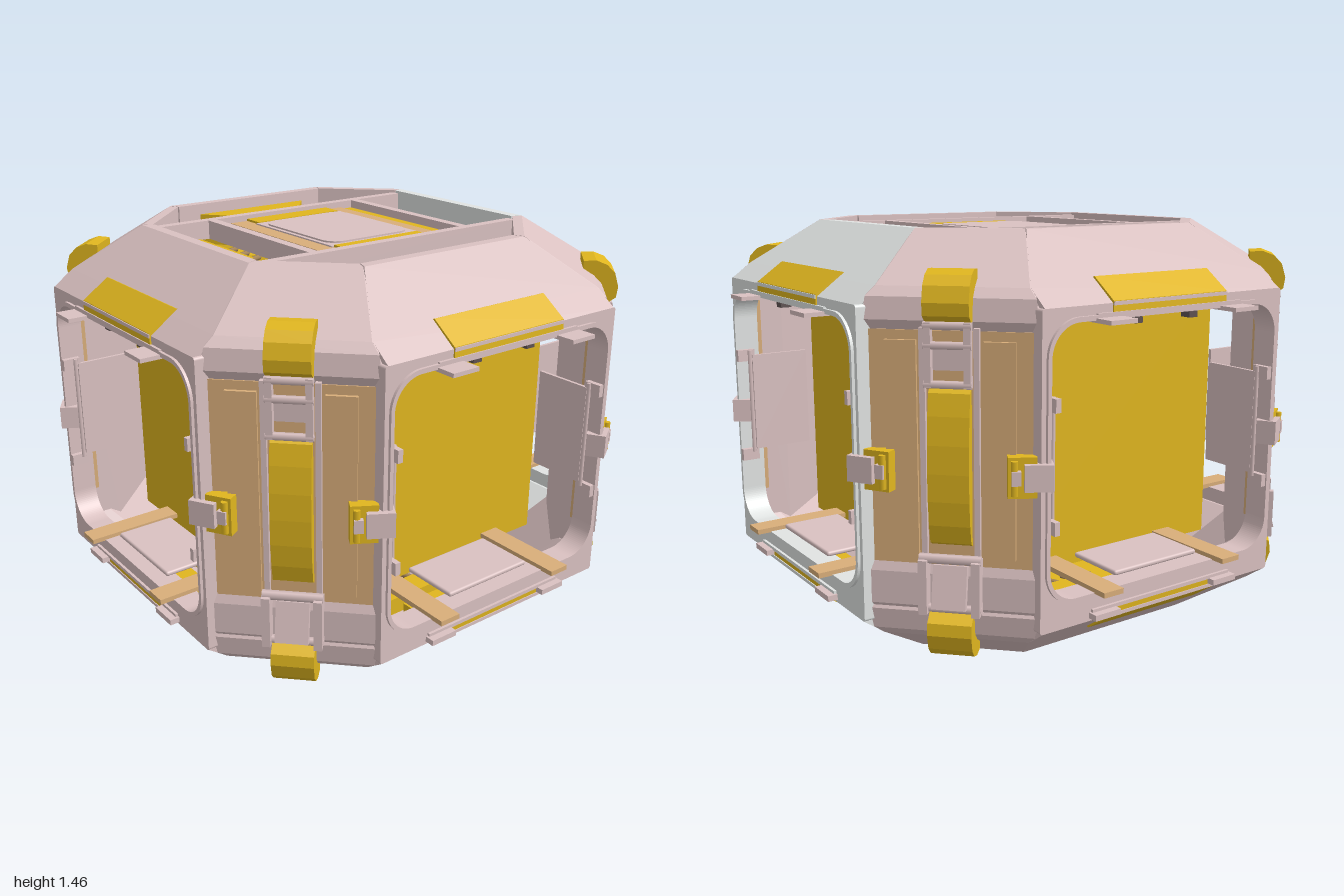
import * as THREE from 'three';
import { RoundedBoxGeometry } from 'three/addons/geometries/RoundedBoxGeometry.js';

const H = 1.46, MID = H / 2;
const mat = (name, color) => Object.assign(new THREE.MeshStandardMaterial({ color }), { name });

export function createModel() {
  const pink = mat('rose shell', 0xdac1c1), white = mat('pale grey shell', 0xe1e4e3);
  const gold = mat('gold', 0xe0b61f), bronze = mat('bronze', 0xd9ae7a);
  const brown = mat('spring brown', 0xa8885a), dark = mat('dark trim', 0x5f5252);

  const group = (name, parent, angle = 0) => {
    const g = new THREE.Group();
    g.name = name;
    g.rotation.y = angle;
    parent.add(g);
    return g;
  };
  const add = (parent, name, geo, m, x = 0, y = 0, z = 0) => {
    const mesh = new THREE.Mesh(geo, m);
    mesh.name = name;
    mesh.position.set(x, y, z);
    parent.add(mesh);
    return mesh;
  };
  // box given by its limits
  const box = (parent, name, m, x0, x1, y0, y1, z0, z1) =>
    add(parent, name, new THREE.BoxGeometry(x1 - x0, y1 - y0, z1 - z0), m,
      (x0 + x1) / 2, (y0 + y1) / 2, (z0 + z1) / 2);

  // solid from a closed (z, y) outline whose half width can change per point
  const prism = (profile, width) => {
    const p = profile.map(([z, y, w = width]) => ({ z, y, w }));
    const flat = () => p.map(q => new THREE.Vector2(q.z, q.y));
    if (THREE.ShapeUtils.isClockWise(flat())) p.reverse();
    const v = [];
    const L = i => v.push(-p[i].w, p[i].y, p[i].z), R = i => v.push(p[i].w, p[i].y, p[i].z);
    for (const [a, b, c] of THREE.ShapeUtils.triangulateShape(flat(), [])) {
      L(a); L(b); L(c);
      R(c); R(b); R(a);
    }
    p.forEach((_, i) => {
      const j = (i + 1) % p.length;
      L(j); L(i); R(i);
      L(j); R(i); R(j);
    });
    const g = new THREE.BufferGeometry();
    g.setAttribute('position', new THREE.Float32BufferAttribute(v, 3));
    g.computeVertexNormals();
    return g;
  };
  const roundRect = (C, w, y0, y1, r) => {
    const s = new C();
    s.moveTo(-w + r, y0);
    s.lineTo(w - r, y0); s.absarc(w - r, y0 + r, r, -Math.PI / 2, 0);
    s.lineTo(w, y1 - r); s.absarc(w - r, y1 - r, r, 0, Math.PI / 2);
    s.lineTo(-w + r, y1); s.absarc(-w + r, y1 - r, r, Math.PI / 2, Math.PI);
    s.lineTo(-w, y0 + r); s.absarc(-w + r, y0 + r, r, Math.PI, Math.PI * 1.5);
    return s;
  };
  const rod = (parent, name, a, b, r, m) => {
    const A = new THREE.Vector3(...a), B = new THREE.Vector3(...b), d = B.clone().sub(A);
    const mesh = add(parent, name, new THREE.CylinderGeometry(r, r, d.length(), 6), m);
    mesh.position.copy(A).add(B).multiplyScalar(0.5);
    mesh.quaternion.setFromUnitVectors(new THREE.Vector3(0, 1, 0), d.normalize());
  };

  // shared outlines: [outward, height, half width]
  const slope = prism([[.58, H, .343], [.62, H, .358], [.845, 1.30, .503], [.92, 1.245, .505],
    [.92, 1.21, .505], [.84, 1.21, .5], [.62, 1.36, .358], [.58, 1.36, .343]]);
  const cornerSlope = prism([[.657, H, .166], [.693, H, .182], [.955, 1.30, .24], [.985, 1.27, .265],
    [.995, 1.2, .275], [.98, 1.17, .265], [.9, 1.17, .207], [.69, 1.36, .182], [.657, 1.36, .166]]);
  const grip = prism([[.828, 1.32], [.924, 1.252], [.926, 1.215], [.72, 1.215], [.72, 1.28]], .245);
  const hook = prism([[1.0, 1.19], [1.04, 1.22], [1.045, 1.26], [1.03, 1.31], [1.0, 1.34], [.96, 1.355],
    [.915, 1.352], [.915, 1.32], [.955, 1.29], [.98, 1.25], [.98, 1.19]], .072);
  const springBlock = prism([[.575, 1.30, .25], [.575, 1.42, .25], [.48, 1.42, .17], [.48, 1.30, .17]]);

  // top or bottom half of the shell
  const cap = (parent) => {
    for (let k = 0; k < 4; k++) {
      const side = group('slopeSide', parent, k * Math.PI / 2);
      const shell = k === 1 ? white : pink;
      add(side, 'slopePanel', slope, shell);
      add(side, 'slopeGrip', grip, gold);
      box(side, 'gripGap', shell, -.245, .245, 1.238, 1.25, .9, .928);
      box(side, 'gripLedge', shell, -.31, .31, 1.205, 1.218, .9, .93);
      if (k !== 1) {
        add(side, 'springBlock', springBlock, gold);
        for (let i = 0; i < 4; i++) for (const s of [-1, 1]) {
          const x = (i - 1.5) * .078;
          rod(side, 'springRod', [x - s * .032, 1.36 + s * .012, .35], [x + s * .032, 1.36 + s * .012, .485], .01, brown);
        }
      }
      const corner = group('slopeCorner', parent, (k + .5) * Math.PI / 2);
      add(corner, 'cornerSlope', cornerSlope, pink);
      add(corner, 'strapHook', hook, gold);
    }
    // central hatch and its crossbars
    for (const s of [-1, 1]) {
      box(parent, 'longCrossbar', pink, -.59, .59, 1.38, 1.45, s * .342 - .018, s * .342 + .018);
      box(parent, 'shortCrossbar', pink, s * .342 - .018, s * .342 + .018, 1.38, 1.45, -.33, .33);
      box(parent, 'hatchGoldBand', gold, -.19, .19, 1.425, 1.436, s * .28 - .04, s * .28 + .04);
    }
    box(parent, 'hatchPlate', gold, -.33, .33, 1.39, 1.42, -.33, .33);
    box(parent, 'hatchInlay', bronze, -.265, .265, 1.42, 1.428, -.32, .32);
    box(parent, 'hatchField', pink, -.2, .2, 1.425, 1.433, -.24, .24);
    const c = roundRect(THREE.Shape, .185, -.22, .22, .06);
    add(parent, 'hatchCentre', new THREE.ExtrudeGeometry(c, { depth: .006, bevelEnabled: false }), pink, 0, 1.433, 0)
      .rotation.x = -Math.PI / 2;
  };

  const root = new THREE.Group();
  root.name = 'octagonalCrate';
  cap(group('upperShell', root));
  const lower = group('lowerShell', root);
  lower.rotation.x = Math.PI;
  lower.position.y = H;
  cap(lower);

  // side frames with rounded openings
  const frameShape = roundRect(THREE.Shape, .515, .215, 1.245, .01);
  frameShape.holes.push(roundRect(THREE.Path, .487, .31, 1.2, .11));
  const frameGeo = new THREE.ExtrudeGeometry(frameShape, { depth: .07, bevelEnabled: false });
  const lipShape = roundRect(THREE.Shape, .498, .297, 1.213, .12);
  lipShape.holes.push(roundRect(THREE.Path, .484, .313, 1.197, .105));
  const lipGeo = new THREE.ExtrudeGeometry(lipShape, { depth: .09, bevelEnabled: false });
  for (let k = 0; k < 4; k++) {
    const m = k === 1 ? white : pink;
    const side = group('side', root, k * Math.PI / 2);
    add(side, 'sideFrame', frameGeo, m, 0, 0, .85);
    add(side, 'openingLip', lipGeo, m, 0, 0, .84);
    box(side, 'innerPanel', gold, -.488, .488, .28, 1.21, .6, .615);
    box(side, 'upperShelf', gold, -.21, .21, 1.188, 1.2, .64, .86);
    add(side, 'shelfPlate', new RoundedBoxGeometry(.37, .018, .22, 2, .008), pink, 0, .338, .78);
    for (const s of [-1, 1]) {
      const x = s * .265;
      box(side, 'upperTab', pink, x - .053, x + .053, 1.19, 1.204, .7, 1.0);
      box(side, 'lowerPlank', bronze, x - .04, x + .04, .31, .328, .62, .98);
      box(side, 'lowerTab', pink, x - .053, x + .053, .225, .245, .88, .955);
      box(side, 'sideFlap', pink, s * .455 - .006, s * .455 + .006, .58, .95, .66, .88);
      rod(side, 'flapHinge', [s * .45, .57, .89], [s * .45, .97, .89], .008, pink);
      for (const y of [.56, .95])
        box(side, 'flapKnuckle', pink, s * .462 - .01, s * .462 + .01, y - .022, y + .022, .87, .935);
      box(side, 'latchStop', dark, s * .12 - .018, s * .12 + .018, 1.17, 1.19, .86, .9);
    }
  }

  // corner columns, tapering inward to clear the openings, with strap and buckles
  const columnBack = prism([[.87, .25, .172], [.955, .25, .257], [.955, 1.21, .257], [.87, 1.21, .172]]);
  const columnPanel = prism([[.93, .4, .234], [.985, .4, .282], [.985, 1.17, .282], [.93, 1.17, .234]]);
  const lowerBand = prism([[.9, .24, .2], [.975, .24, .262], [.995, .28, .275], [.995, .39, .275], [.985, .42, .268], [.9, .42, .2]]);
  const strap = prism([[.97, .48], [1.005, .5], [1.02, .56], [1.03, .64], [1.033, MID], [1.03, .82],
    [1.02, .91], [1.005, .98], [.97, 1.01]], .066);
  for (let k = 0; k < 4; k++) {
    const c = group('cornerColumn', root, (k + .5) * Math.PI / 2);
    add(c, 'columnBack', columnBack, pink);
    add(c, 'columnPanel', columnPanel, bronze);
    add(c, 'lowerBand', lowerBand, pink);
    add(c, 'strap', strap, gold);
    for (const s of [-1, 1]) {
      box(c, 'raisedPanel', bronze, s * .155 - .05, s * .155 + .05, .45, 1.14, .975, .998);
      box(c, 'strapRail', pink, s * .085 - .009, s * .085 + .009, .4, 1.18, .97, 1.005);
      box(c, 'upperBuckleArm', pink, s * .062 - .011, s * .062 + .011, 1.0, 1.2, 1.0, 1.03);
      box(c, 'lowerBuckleArm', pink, s * .085 - .014, s * .085 + .014, .27, .45, .98, 1.045);
    }
    box(c, 'buckleBack', pink, -.06, .06, 1.05, 1.13, .97, 1.0);
    for (const y of [1.01, 1.13, 1.19])
      rod(c, 'upperBuckleBar', [-.075, y, 1.02], [.075, y, 1.02], .013, pink);
    rod(c, 'lowerBuckleBar', [-.1, .45, 1.015], [.1, .45, 1.015], .016, pink);
    rod(c, 'lowerBucklePin', [-.1, .285, 1.015], [.1, .285, 1.015], .014, pink);
    const lever = add(c, 'buckleLever', new THREE.BoxGeometry(.11, .14, .025), pink, 0, .36, 1.025);
    lever.rotation.x = -.25;

    // clasps across the two upright edges of this corner
    for (const s of [-1, 1]) {
      const g = group('clasp', root, (k + .5) * Math.PI / 2 + s * .25);
      box(g, 'claspClip', pink, s * .02 - .045, s * .02 + .045, .69, .775, 1.0, 1.07);
      box(g, 'claspBase', gold, -s * .03 - .045, -s * .03 + .045, .665, .795, 1.0, 1.05);
      rod(g, 'claspPin', [-s * .055, .675, 1.055], [-s * .055, .785, 1.055], .012, gold);
      box(g, 'claspCatch', pink, -s * .05 - .015, -s * .05 + .015, .71, .755, 1.04, 1.07);
    }
  }
  return root;
}
